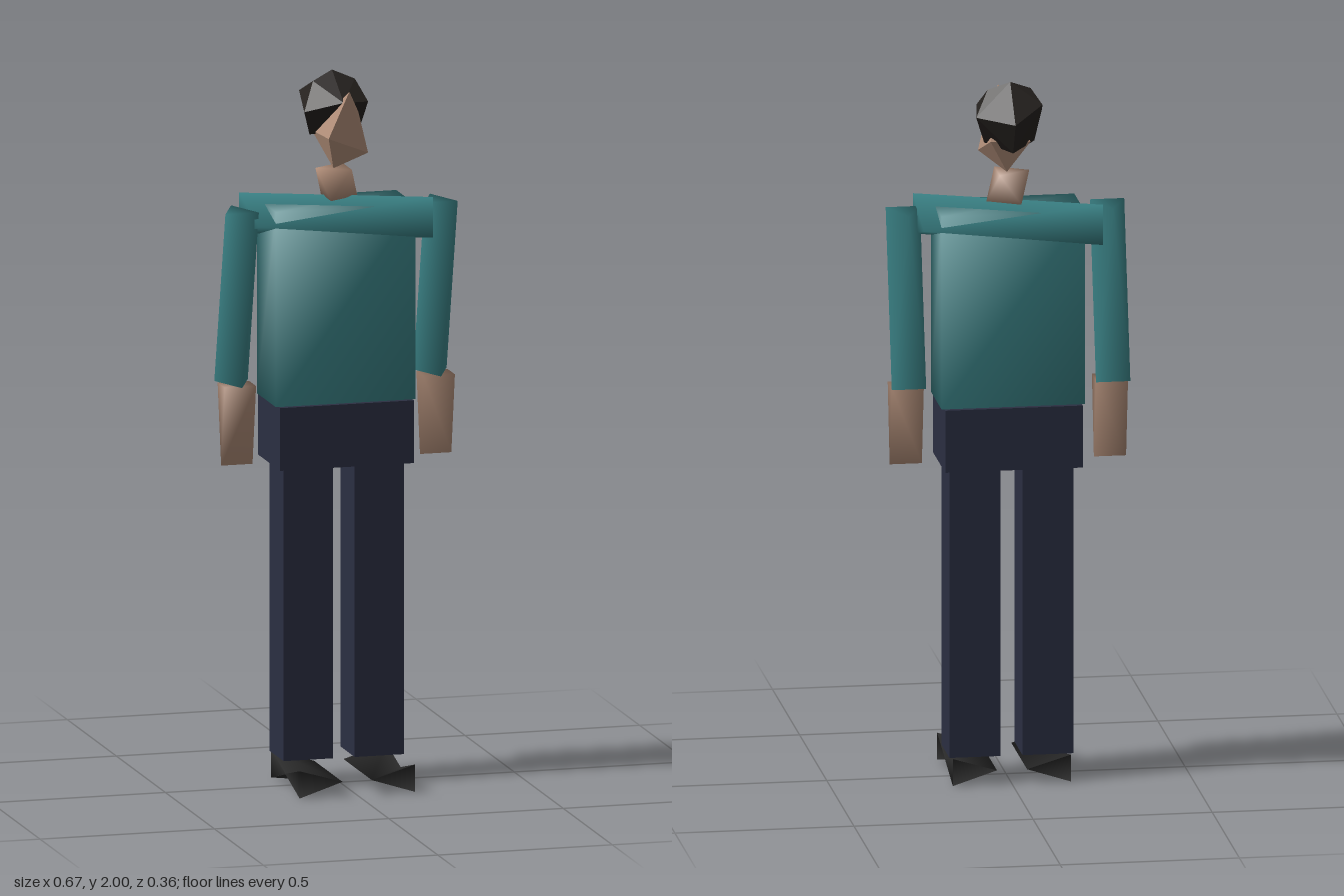
import * as THREE from 'three';
import { mergeVertices } from 'three/addons/utils/BufferGeometryUtils.js';
import { ConvexGeometry } from 'three/addons/geometries/ConvexGeometry.js';

const TEAL = 0x3b8387, NAVY = 0x2b2f42, SKIN = 0xb08d78, HAIR = 0x25211e, SHOE = 0x2c2c2c;

// Share corner normals so the facets shade softly
function soften(geometry) {
  geometry.deleteAttribute('normal');
  geometry.deleteAttribute('uv');
  const merged = mergeVertices(geometry, 1e-4);
  merged.computeVertexNormals();
  return merged;
}

// Closed faceted solid around a few corner points
function solid(points, smooth) {
  const g = new ConvexGeometry(points.map((p) => new THREE.Vector3(...p)));
  return smooth ? soften(g) : g;
}

// Box given by its limits on each axis
function box([x0, x1], [y0, y1], [z0, z1]) {
  return new THREE.BoxGeometry(x1 - x0, y1 - y0, z1 - z0)
    .translate((x0 + x1) / 2, (y0 + y1) / 2, (z0 + z1) / 2);
}

// Three-cornered shoe whose outer edges cross between toe and heel
function shoeGeometry(side) {
  const inner = 0.042 * side, outer = 0.165 * side, mid = 0.045;
  const corners = [];
  for (const z of [0.178, -0.112]) {
    corners.push(inner, mid, z, outer, 0.082, z, outer, 0.005, z);
  }
  corners.push(outer, mid, 0.033);
  const g = new THREE.BufferGeometry();
  g.setAttribute('position', new THREE.Float32BufferAttribute(corners, 3));
  g.setIndex([0, 1, 5, 0, 5, 3, 0, 4, 2, 0, 3, 4, 1, 2, 6, 4, 5, 6, 0, 2, 1, 3, 4, 5]);
  g.computeVertexNormals();
  return g;
}

export function createModel() {
  const model = new THREE.Group();
  model.name = 'figure';

  function add(name, geometry, color, options = {}) {
    const mesh = new THREE.Mesh(geometry, new THREE.MeshStandardMaterial({ color, ...options }));
    mesh.name = name;
    model.add(mesh);
  }

  // Hips and shirt
  add('hips', box([-0.192, 0.192], [0.91, 1.087], [-0.15, 0.075]), NAVY);
  add('torso', soften(box([-0.2, 0.2], [1.087, 1.637], [-0.135, 0.06])), TEAL);

  // Shoulder yoke: upright edge at the front on one end, at the back on the other
  add('shoulders', solid([
    [0.25, 1.655, 0.063], [0.25, 1.54, 0.063], [0.25, 1.598, -0.139],
    [-0.25, 1.655, -0.139], [-0.25, 1.54, -0.139], [-0.25, 1.598, 0.063],
  ], true), TEAL);

  for (const side of [1, -1]) {
    const label = side > 0 ? 'left' : 'right';

    // Leg and shoe
    add(label + 'Leg', box([0.102 * side - 0.071, 0.102 * side + 0.071],
      [0.083, 0.912], [-0.102, 0.042]), NAVY);
    add(label + 'Shoe', shoeGeometry(side), SHOE, { side: THREE.DoubleSide });

    // Sleeve: triangle at the top, reversed triangle at the cuff
    const c = 0.285 * side, w = 0.048;
    add(label + 'Sleeve', solid([
      [c - w, 1.63, 0.018], [c + w, 1.63, 0.018], [c, 1.63, -0.095],
      [c - w, 1.137, -0.095], [c + w, 1.137, -0.095], [c, 1.137, 0.018],
    ], true), TEAL);

    // Hand: wedge narrowing to a bottom edge
    const h = 0.045;
    add(label + 'Hand', solid([
      [c - h, 1.137, 0], [c + h, 1.137, 0], [c - h, 1.137, -0.072], [c + h, 1.137, -0.072],
      [c - h, 0.91, -0.036], [c + h, 0.91, -0.036],
    ], true), SKIN);
  }

  // Neck: two opposed triangles
  const neck = [];
  for (const [y, turn] of [[1.735, Math.PI], [1.65, 0]]) {
    for (let i = 0; i < 3; i++) {
      const a = turn + (i * Math.PI * 2) / 3;
      neck.push([0.06 * Math.cos(a), y, -0.035 + 0.06 * Math.sin(a)]);
    }
  }
  add('neck', solid(neck, true), SKIN);

  // Head
  add('head', solid([
    [-0.055, 1.84, 0.083], [0.015, 1.962, 0.045], [0.075, 1.782, 0.022], [-0.026, 1.745, 0.028],
    [0.01, 1.745, -0.085], [0.06, 1.84, -0.115], [-0.055, 1.83, -0.09], [0.045, 1.9, 0.03],
  ]), SKIN);

  // Hair cap
  add('hair', solid([
    [0, 2, -0.08], [0.06, 1.975, -0.06], [-0.06, 1.975, -0.06],
    [0, 1.9, -0.178], [0.1, 1.91, -0.113], [-0.085, 1.94, -0.113],
    [-0.1, 1.9, -0.006], [0.083, 1.92, -0.006], [0, 1.93, 0.04],
    [0.07, 1.825, -0.06], [-0.07, 1.825, -0.06], [0, 1.81, -0.135],
  ]), HAIR, { flatShading: true });

  return model;
}
